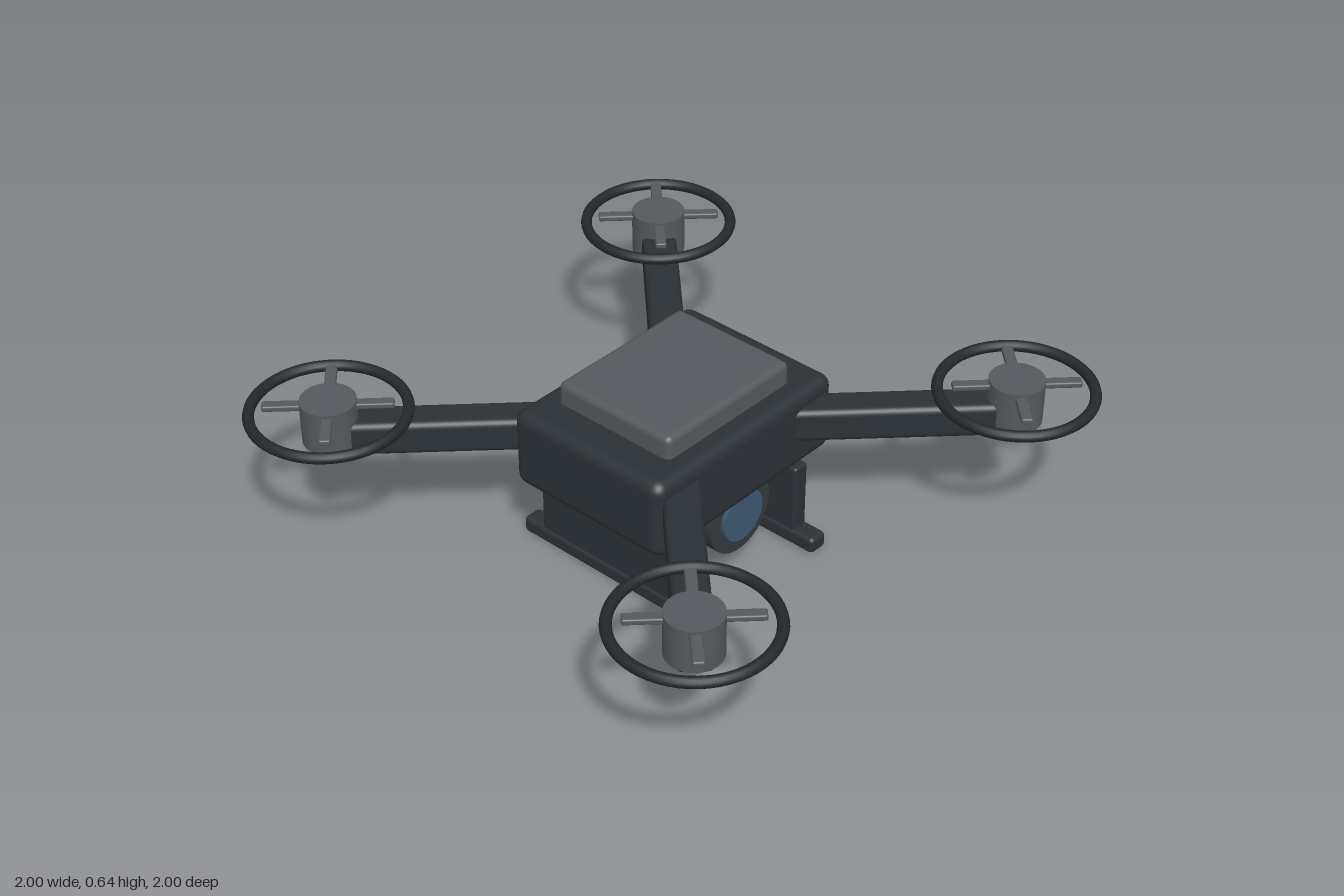
import * as THREE from 'three';
import { RoundedBoxGeometry } from 'three/addons/geometries/RoundedBoxGeometry.js';

const paint = (color) => new THREE.MeshStandardMaterial({ color });

export function createModel() {
  const model = new THREE.Group();
  model.name = 'quadcopter';

  const shell = paint(0x2b3136);
  const grey = paint(0x55585c);
  const dark = paint(0x23282c);
  const housing = paint(0x33393c);
  const glass = paint(0x3d5872);

  const add = (parent, name, geometry, material, x = 0, y = 0, z = 0) => {
    const mesh = new THREE.Mesh(geometry, material);
    mesh.name = name;
    mesh.position.set(x, y, z);
    parent.add(mesh);
    return mesh;
  };
  const box = (w, h, d, r) => new RoundedBoxGeometry(w, h, d, 3, r);

  // Body and battery cover
  add(model, 'body', box(0.8, 0.27, 0.6, 0.04), shell, 0, 0.43, 0);
  add(model, 'batteryCover', box(0.55, 0.14, 0.45, 0.022), grey, 0, 0.57, 0);

  // Four diagonal arms, each built along +x and turned into place
  const reach = 0.74 * Math.SQRT2;
  const armStart = 0.3, armEnd = 1.105;
  for (let i = 0; i < 4; i++) {
    const arm = new THREE.Group();
    arm.name = 'armAssembly';
    arm.rotation.y = Math.PI / 4 + i * Math.PI / 2;
    model.add(arm);

    add(arm, 'arm', box(armEnd - armStart, 0.115, 0.115, 0.022), shell,
      (armStart + armEnd) / 2, 0.455, 0);
    add(arm, 'motor', new THREE.CylinderGeometry(0.088, 0.088, 0.145, 32), grey, reach, 0.502, 0);

    // Crossed rotor blades
    for (const turn of [0, Math.PI / 2]) {
      const blade = add(arm, 'rotorBlade', box(0.4, 0.02, 0.036, 0.006), grey, reach, 0.555, 0);
      blade.rotation.y = turn;
    }

    // Rotor guard
    const guard = add(arm, 'rotorGuard', new THREE.TorusGeometry(0.242, 0.018, 12, 56), dark,
      reach, 0.533, 0);
    guard.rotation.x = Math.PI / 2;
  }

  // Landing gear: an upright panel on a skid at each side
  for (const side of [-1, 1]) {
    add(model, 'landingLeg', box(0.058, 0.26, 0.6, 0.01), shell, side * 0.256, 0.16, 0);
    add(model, 'landingSkid', box(0.07, 0.057, 0.76, 0.016), shell, side * 0.256, 0.0285, 0);
  }

  // Camera under the nose
  const camera = new THREE.Group();
  camera.name = 'camera';
  camera.position.set(0, 0.238, 0);
  camera.rotation.x = Math.PI / 2;
  model.add(camera);
  add(camera, 'cameraHousing', new THREE.CylinderGeometry(0.136, 0.136, 0.24, 40), housing, 0, 0.15, 0);
  add(camera, 'cameraLens', new THREE.CylinderGeometry(0.088, 0.088, 0.05, 40), glass, 0, 0.26, 0);

  return model;
}
